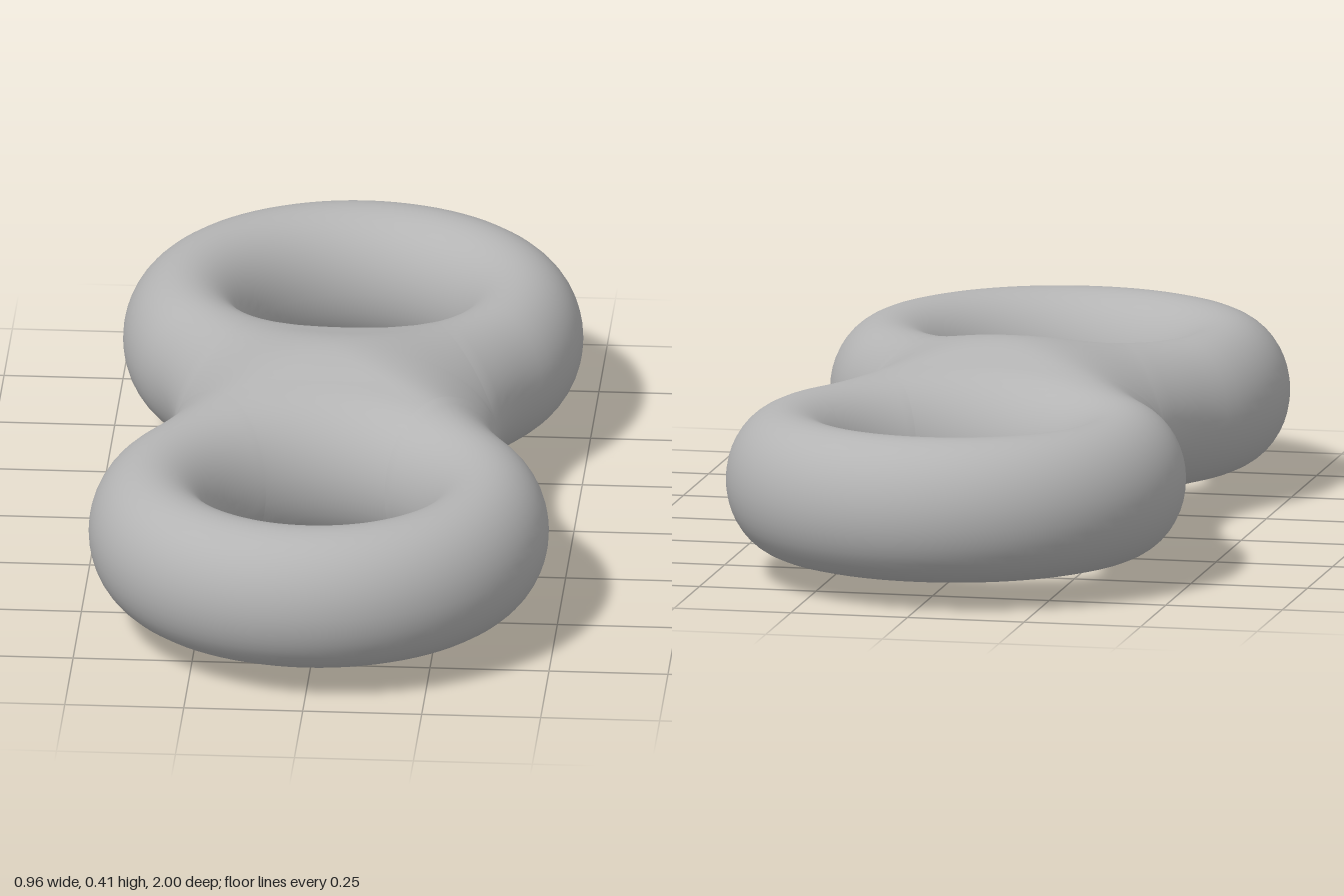
import * as THREE from 'three';
import { mergeVertices } from 'three/addons/utils/BufferGeometryUtils.js';

const CENTER = 0.5175;   // z of each hole's centre
const INNER = 0.2275;    // hole radius
const OUTER = 0.4825;    // ring outer radius
const TUBE = (OUTER - INNER) / 2;
const WAIST = 0.34;      // half width at the middle
const RING_H = 0.153;    // half height of the rings
const WAIST_H = 0.207;   // half height at the middle

// Concave arc that joins the two rings, tangent to both
const ARC_R = (WAIST ** 2 + CENTER ** 2 - OUTER ** 2) / (2 * (OUTER - WAIST));
const ARC_X = WAIST + ARC_R;

// Distance inwards from the outer outline (z >= 0 half)
function outlineDistance(x, z) {
  const ax = Math.abs(x);
  const onWaist = ax / ARC_X + z / CENTER < 1;
  return onWaist
    ? Math.hypot(ax - ARC_X, z) - ARC_R
    : OUTER - Math.hypot(x, z - CENTER);
}

// Quarter-ellipse rise from 0 at an edge to 1 at the given width
function rise(distance, width) {
  const k = 1 - THREE.MathUtils.clamp(distance / width, 0, 1);
  return Math.sqrt(1 - k * k);
}

// Half thickness of the body at a plan position
function halfHeight(x, z) {
  const bump = Math.exp(-((z / 0.16) ** 2));
  const peak = RING_H + (WAIST_H - RING_H) * bump;
  const width = TUBE + (WAIST - TUBE) * bump;
  const hole = Math.hypot(x, z - CENTER) - INNER;
  const h = peak * rise(hole, TUBE) * rise(outlineDistance(x, z), width);
  return h < 1e-4 ? 0 : h;
}

// Length of a ray from the hole centre to the outline or the middle plane
function rayLength(phi) {
  let lo = INNER, hi = 0.8;
  for (let k = 0; k < 50; k++) {
    const r = (lo + hi) / 2;
    const z = CENTER - r * Math.cos(phi);
    if (z > 0 && outlineDistance(r * Math.sin(phi), z) > 0) lo = r;
    else hi = r;
  }
  return lo;
}

// Ray angles, with one ray exactly through each waist corner
function rayAngles() {
  const corner = Math.atan2(WAIST, CENTER);
  const half = [];
  for (let i = 1; i <= 12; i++) half.push(corner * Math.sin((Math.PI / 2) * i / 12));
  for (let i = 1; i <= 34; i++) half.push(corner + (Math.PI - corner) * i / 34);
  return [...half.map((a) => -a).reverse(), 0, ...half];
}

function bodyGeometry() {
  const angles = rayAngles();
  const STEPS = 22;
  const positions = [], index = [];

  // Four sheets: upper and lower, front and back
  for (const sy of [1, -1]) for (const sz of [1, -1]) {
    const base = positions.length / 3;
    for (const phi of angles) {
      const end = rayLength(phi);
      for (let j = 0; j <= STEPS; j++) {
        const t = (1 - Math.cos(Math.PI * j / STEPS)) / 2;
        const r = INNER + (end - INNER) * t;
        const x = r * Math.sin(phi);
        let z = CENTER - r * Math.cos(phi);
        if (z < 1e-6) z = 0;
        const h = j === 0 ? 0 : halfHeight(x, z);
        positions.push(x, sy * h, sz * z);
      }
    }
    for (let i = 0; i < angles.length - 1; i++) for (let j = 0; j < STEPS; j++) {
      const a = base + i * (STEPS + 1) + j, b = a + STEPS + 1;
      if (sy * sz > 0) index.push(a, b, a + 1, b, b + 1, a + 1);
      else index.push(a, a + 1, b, b, a + 1, b + 1);
    }
  }

  // Weld the sheets so the shading runs smoothly across them
  let geometry = new THREE.BufferGeometry();
  geometry.setAttribute('position', new THREE.Float32BufferAttribute(positions, 3));
  geometry.setIndex(index);
  geometry = mergeVertices(geometry, 1e-5);
  geometry.computeVertexNormals();
  geometry.translate(0, WAIST_H, 0);
  return geometry;
}

export function createModel() {
  const group = new THREE.Group();
  group.name = 'doubleRing';
  const grey = new THREE.MeshStandardMaterial({ color: 0xb4b4b4 });
  grey.name = 'grey';
  const body = new THREE.Mesh(bodyGeometry(), grey);
  body.name = 'doubleRingBody';
  group.add(body);
  return group;
}
